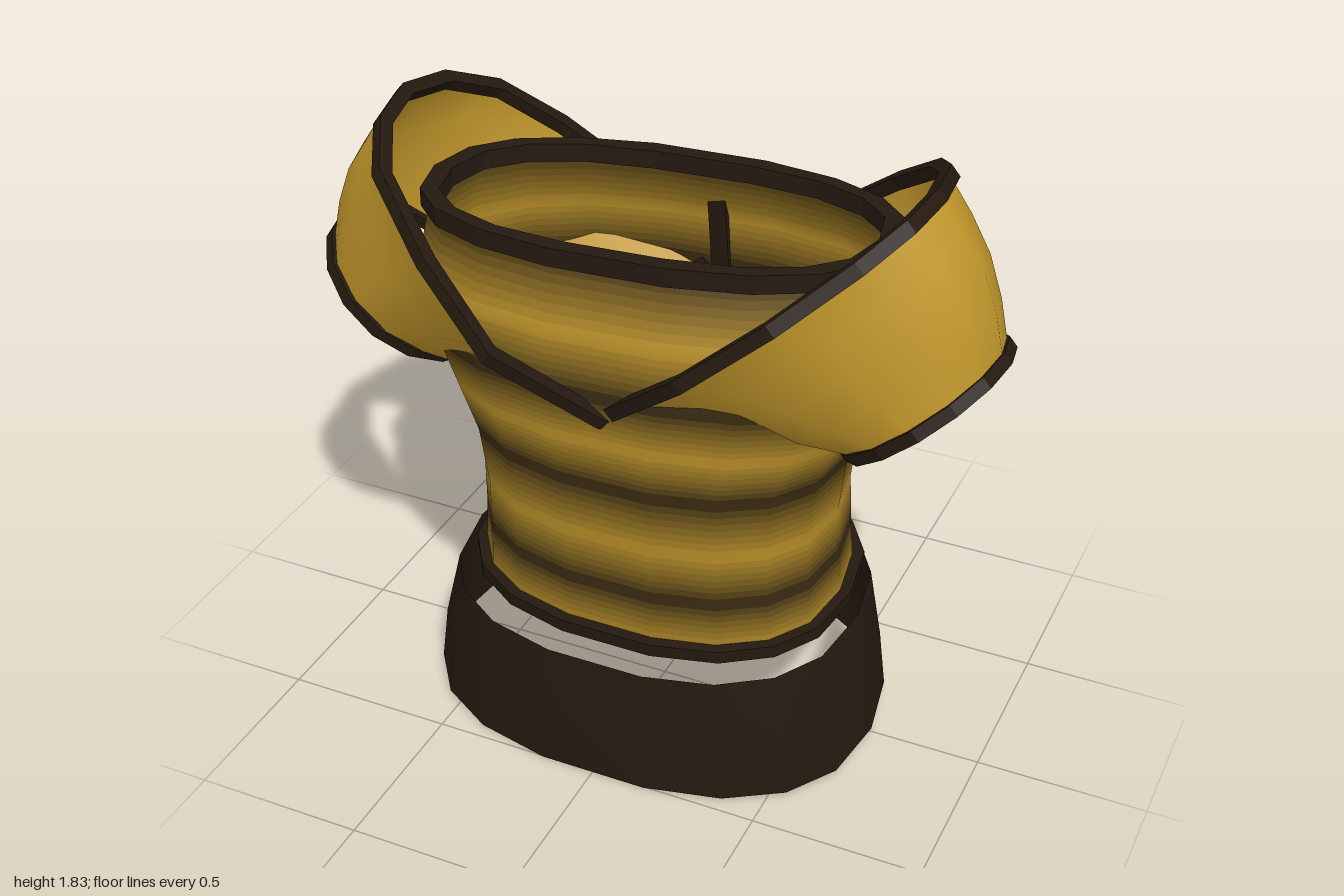
import * as THREE from 'three';

const GOLD = 0xc0962b, DARK = 0x241910;
const V = (x, y, z) => new THREE.Vector3(x, y, z);
const mat = (color, flatShading = false) =>
  new THREE.MeshStandardMaterial({ color, flatShading, side: THREE.DoubleSide });

// Skin a list of equally sized closed cross-sections.
function loft(rings, closed = false) {
  const n = rings[0].length, m = rings.length, index = [];
  for (let j = 0; j < (closed ? m : m - 1); j++) {
    for (let i = 0; i < n; i++) {
      const a = j * n + i, b = j * n + (i + 1) % n;
      const c = ((j + 1) % m) * n + i, d = ((j + 1) % m) * n + (i + 1) % n;
      index.push(a, c, b, b, c, d);
    }
  }
  const geo = new THREE.BufferGeometry().setFromPoints(rings.flat());
  geo.setIndex(index);
  geo.computeVertexNormals();
  return geo;
}

function mesh(name, geo, material) {
  const result = new THREE.Mesh(geo, material);
  result.name = name;
  return result;
}

// Square piping along a roughly flat loop; an open loop gets capped ends.
function piping(name, points, normal, half, open = false) {
  const centre = points.reduce((s, p) => s.add(p), V(0, 0, 0)).divideScalar(points.length);
  const up = normal.clone().normalize().multiplyScalar(half);
  const rings = points.map(p => {
    const out = p.clone().sub(centre).normalize().multiplyScalar(half);
    return [[1, 1], [1, -1], [-1, -1], [-1, 1]].map(([a, b]) =>
      p.clone().addScaledVector(out, a).addScaledVector(up, b));
  });
  if (open) {
    rings.unshift(Array(4).fill(points[0]));
    rings.push(Array(4).fill(points[points.length - 1]));
  }
  return mesh(name, loft(rings, !open), mat(DARK, true));
}

// Rounded oval section, with optional forward tilt and skew.
function oval(y, rx, rz, cz, tilt = 0, skew = 0, power = 0.82, n = 18) {
  return Array.from({ length: n }, (_, i) => {
    const a = i / n * Math.PI * 2, c = Math.cos(a), s = Math.sin(a);
    const x = rx * Math.sign(c) * Math.abs(c) ** power;
    const z = cz + rz * Math.sign(s) * Math.abs(s) ** power - skew * x;
    return V(x, y - tilt * z, z);
  });
}

// Torso with stripes that fade between gold and dark.
function torso() {
  const profile = [ // y, half width, half depth, centre z, tilt, skew
    [0.45, 0.545, 0.405, -0.025, 0.06, 0],
    [0.6, 0.535, 0.405, -0.02, 0.03, 0],
    [0.76, 0.53, 0.405, -0.01, 0.01, 0],
    [0.94, 0.55, 0.41, 0, 0, 0.01],
    [1.08, 0.605, 0.415, 0.003, 0, 0.03],
    [1.23, 0.66, 0.415, 0.012, 0, 0.05],
    [1.4, 0.67, 0.4, 0.02, 0, 0.08],
    [1.6, 0.63, 0.32, 0.035, 0, 0.08],
  ];
  const steps = 8, rings = [], materials = [];
  const gold = new THREE.Color(GOLD), dark = new THREE.Color(DARK);
  profile.forEach((row, j) => {
    const next = profile[j + 1];
    if (!next) return rings.push(oval(...row));
    for (let k = 0; k < steps; k++) {
      rings.push(oval(...row.map((v, q) => v + (next[q] - v) * k / steps)));
      const t = (k + 0.5) / steps, darkness = j % 2 ? 1 - t : t;
      materials.push(mat(new THREE.Color().lerpColors(gold, dark, darkness ** 0.75)));
    }
  });
  const geo = loft(rings), count = rings[0].length * 6;
  materials.forEach((_, i) => geo.addGroup(i * count, count, i));
  const group = new THREE.Group();
  group.name = 'torso';
  group.add(
    mesh('stripedBody', geo, materials),
    piping('neckPiping', rings[rings.length - 1], V(0, 1, 0), 0.027),
    piping('hemPiping', oval(0.45, 0.555, 0.425, -0.032, 0.06), V(0, 1, 0.06), 0.02));
  return group;
}

// Wide tilted shoulder opening narrowing to a small cuff. side is +1 or -1.
function sleeve(name, side, outline) {
  const opening = outline.map(([x, z]) => V(side * x, 1.8 + 0.84 * (x - 0.76), z));
  const cuffPoint = a => V(side * (0.78 + 0.195 * Math.cos(a)),
    1.225 + 0.163 * Math.cos(a), 0.05 - 0.25 * Math.sin(a));
  const n = opening.length;
  const cuff = opening.map((_, i) => cuffPoint(i / n * Math.PI * 2));
  const rings = [0, 0.25, 0.5, 0.75, 1].map(t => opening.map((p, i) => {
    const swell = 0.035 * Math.sin(Math.PI * t) * Math.max(0, Math.cos(i / n * Math.PI * 2));
    const q = p.clone().lerp(cuff[i], t).add(V(side * swell, swell, 0));
    q.z = p.z + (cuff[i].z - p.z) * t ** 0.7; // taper quickly from the opening
    return q;
  }));
  const gap = 0.08, start = Math.PI + gap, span = Math.PI * 2 - gap * 2;
  const cuffLoop = Array.from({ length: 15 }, (_, i) => cuffPoint(start + span * i / 14));
  const normal = V(-0.84 * side, 1, 0);
  const group = new THREE.Group();
  group.name = name;
  group.add(
    mesh('sleeveCloth', loft(rings), mat(GOLD)),
    piping('shoulderPiping', opening, normal, 0.02),
    piping('cuffPiping', cuffLoop, normal, 0.018, true));
  return group;
}

// Bar between two points on the centre back.
function bar(name, from, to, width) {
  const geo = new THREE.BoxGeometry(width, from.distanceTo(to) + 0.01, width);
  const result = mesh(name, geo, mat(DARK));
  result.position.copy(from).lerp(to, 0.5);
  result.quaternion.setFromUnitVectors(V(0, 1, 0), to.clone().sub(from).normalize());
  return result;
}

export function createModel() {
  const model = new THREE.Group();
  model.name = 'stripedTop';
  model.add(torso());

  // Shoulder openings as (distance from centre, z): top, back, underside, front.
  model.add(
    sleeve('leftSleeve', 1, [
      [0.765, 0.04], [0.74, -0.14], [0.67, -0.28], [0.52, -0.41], [0.22, -0.56],
      [0.0, -0.42], [-0.09, -0.25], [-0.1, 0.03], [-0.06, 0.22], [0.04, 0.41],
      [0.27, 0.5], [0.49, 0.45], [0.66, 0.32], [0.74, 0.19]]),
    sleeve('rightSleeve', -1, [
      [0.765, 0.04], [0.735, -0.13], [0.65, -0.28], [0.5, -0.38], [0.27, -0.47],
      [0.04, -0.4], [-0.08, -0.25], [-0.14, 0.03], [-0.11, 0.22], [0.0, 0.41],
      [0.25, 0.55], [0.47, 0.47], [0.66, 0.35], [0.74, 0.2]]));

  // Loose open waistband
  const band = [
    [0.042, 0.68, 0.483, 0.027, 0.075],
    [0.22, 0.655, 0.485, 0.025, 0.07],
    [0.422, 0.61, 0.475, 0.01, 0.07],
  ].map(row => oval(...row));
  model.add(mesh('waistband', loft(band), mat(DARK)));

  // Back fastening: strap and buckle
  const strap = new THREE.Group();
  strap.name = 'backStrap';
  strap.add(
    bar('lowerStrap', V(0, 0.64, -0.453), V(0, 1.22, -0.413), 0.055),
    bar('upperStrap', V(0, 1.22, -0.413), V(0, 1.47, -0.375), 0.055));
  const buckle = mesh('buckle', new THREE.BoxGeometry(0.18, 0.15, 0.055), mat(DARK));
  buckle.position.set(-0.005, 0.365, -0.499);
  buckle.rotation.x = 0.07;
  model.add(strap, buckle);
  return model;
}
